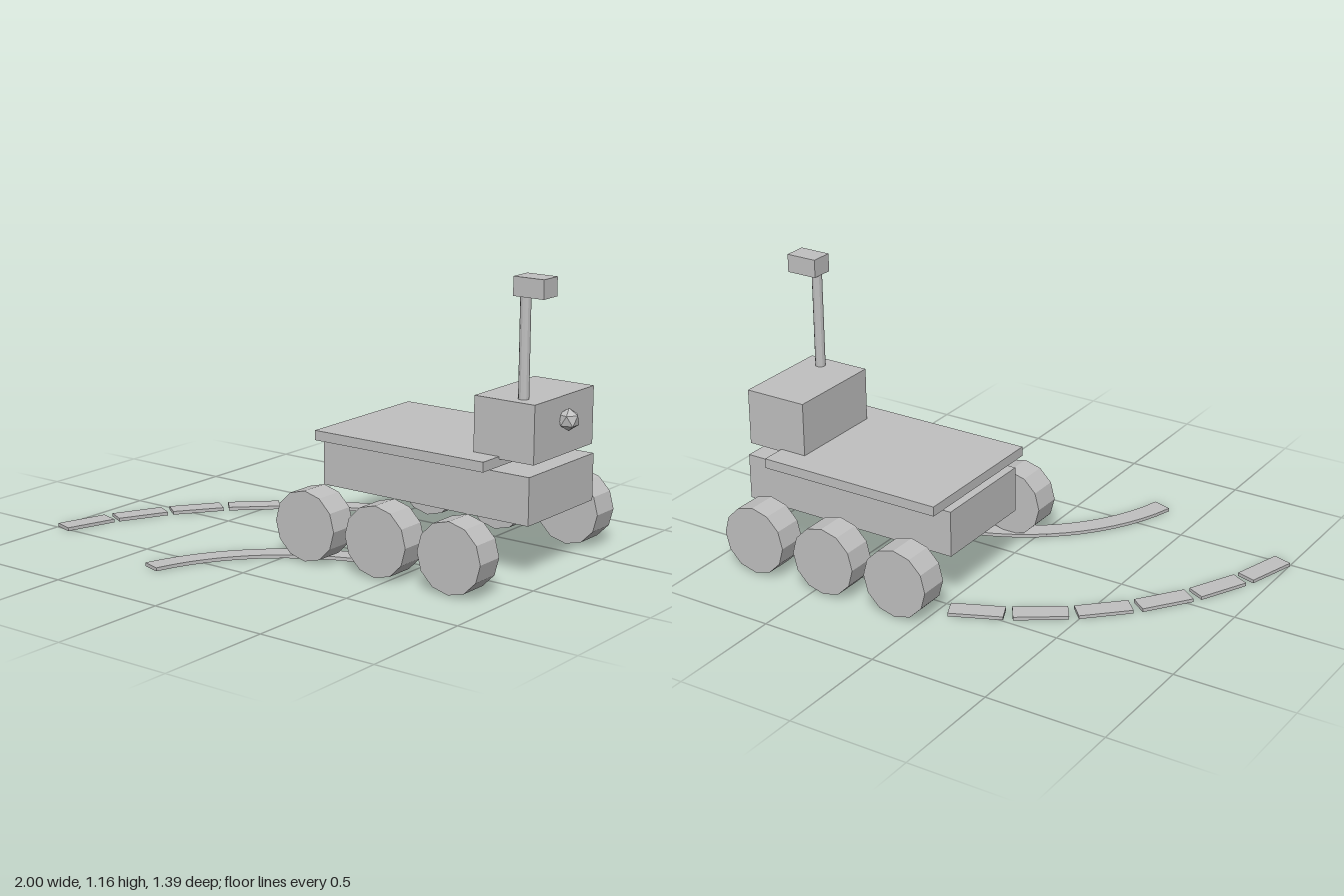
import * as THREE from 'three';

export function createModel() {
  const model = new THREE.Group();
  model.name = 'rover';
  const grey = new THREE.MeshStandardMaterial({ color: 0xc0c0c0, flatShading: true });
  grey.name = 'plainGrey';

  const add = (name, geometry, x, y, z, parent = model) => {
    const mesh = new THREE.Mesh(geometry, grey);
    mesh.name = name;
    mesh.position.set(x, y, z);
    parent.add(mesh);
    return mesh;
  };
  // Box given by its lower and upper corners
  const block = (name, [x0, y0, z0], [x1, y1, z1]) =>
    add(name, new THREE.BoxGeometry(x1 - x0, y1 - y0, z1 - z0),
      (x0 + x1) / 2, (y0 + y1) / 2, (z0 + z1) / 2);

  // Body
  block('chassis', [-0.037, 0.226, -0.52], [0.936, 0.417, -0.055]);
  block('deck', [-0.017, 0.43, -0.605], [0.785, 0.47, 0.03]);
  block('instrumentBox', [0.669, 0.46, -0.5], [0.94, 0.692, -0.077]);

  // Mast with camera
  add('mast', new THREE.CylinderGeometry(0.021, 0.021, 0.4, 12), 0.849, 0.89, -0.141);
  block('cameraHead', [0.824, 1.09, -0.186], [0.958, 1.165, -0.092]);

  // Faceted sensor on the nose, turned to stand on a corner
  const sensor = new THREE.IcosahedronGeometry(0.045, 0);
  sensor.rotateX(-Math.atan((1 + Math.sqrt(5)) / 2));
  sensor.rotateY(Math.PI / 2);
  add('noseSensor', sensor, 0.96, 0.6, -0.288);

  // Six wheels
  const wheel = new THREE.CylinderGeometry(0.143, 0.143, 0.125, 12).rotateX(Math.PI / 2);
  for (const [side, z] of [['left', 0.191], ['right', -0.638]]) {
    for (const x of [0.107, 0.447, 0.786]) add(side + 'Wheel', wheel, x, 0.148, z);
  }

  // Curved wheel trails: thin slabs set along an arc on the ground
  const trail = (name, cx, cz, radius, from, to, count, length) => {
    const group = new THREE.Group();
    group.name = name;
    model.add(group);
    const slab = new THREE.BoxGeometry(length, 0.014, 0.083);
    for (let i = 0; i < count; i++) {
      const a = THREE.MathUtils.degToRad(from + (to - from) * i / (count - 1));
      add('trailSlab', slab, cx - radius * Math.sin(a), 0.007, cz - radius * Math.cos(a), group)
        .rotation.y = a;
    }
  };
  trail('brokenTrail', 0.444, 0.812, 1.436, 24, 73.3, 6, 0.217);
  trail('solidTrail', 0.498, 0.886, 0.838, 12, 73, 14, 0.08);

  return model;
}
